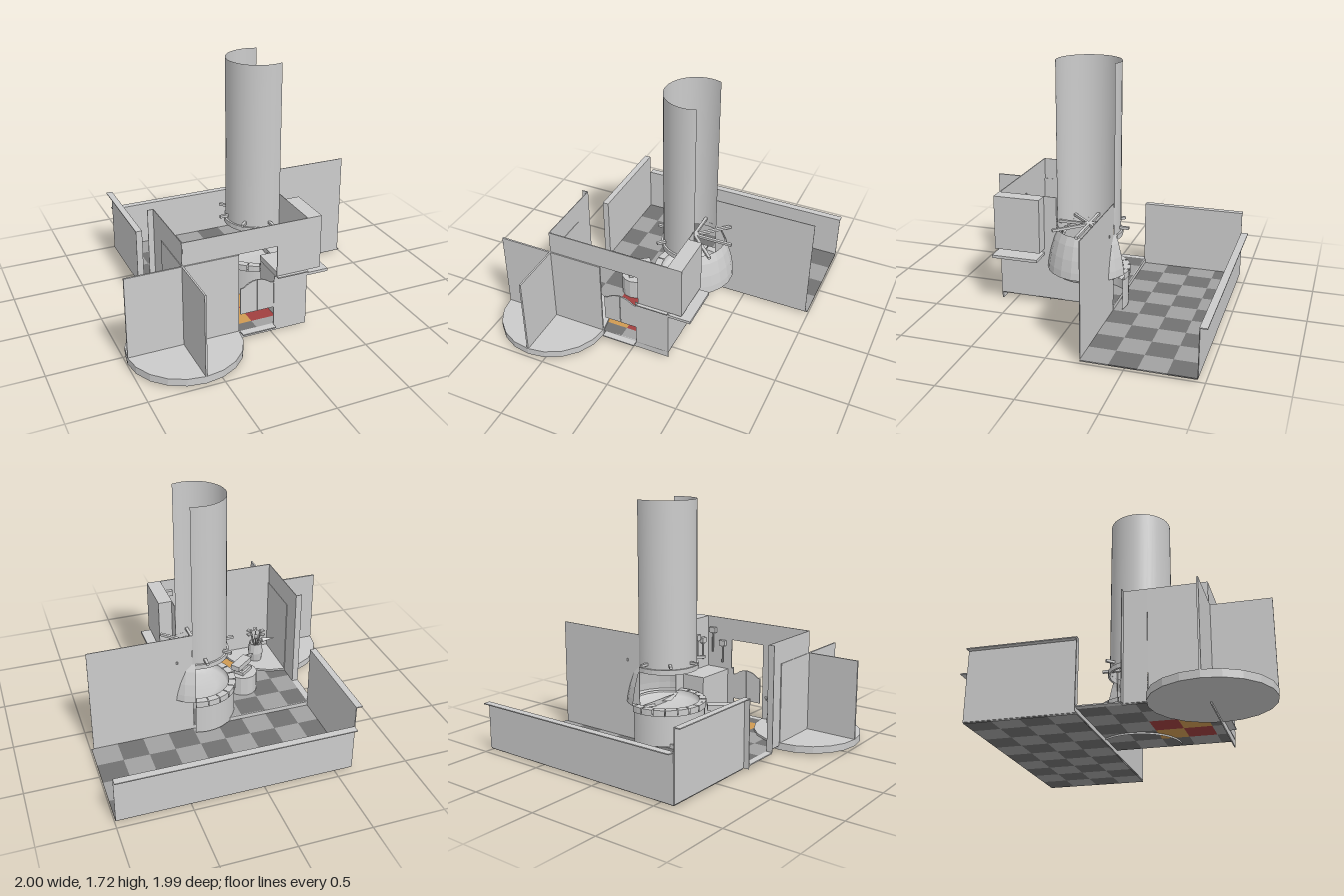
import * as THREE from 'three';

export function createModel() {
  const root = new THREE.Group();
  const mat = (color, flat = false) => new THREE.MeshStandardMaterial({ color, flatShading: flat, side: THREE.DoubleSide });
  const grey = mat(0xcccccc), faceted = mat(0xcccccc, true);
  const darkTile = mat(0x727272), lightTile = mat(0xa2a2a2), red = mat(0xa04040), orange = mat(0xcf9a52);

  const add = (name, geo, material = grey, parent = root) => {
    const m = new THREE.Mesh(geo, material);
    m.name = name;
    parent.add(m);
    return m;
  };
  const box = (name, x0, x1, y0, y1, z0, z1, material = grey, parent = root) => {
    const m = add(name, new THREE.BoxGeometry(x1 - x0, y1 - y0, z1 - z0), material, parent);
    m.position.set((x0 + x1) / 2, (y0 + y1) / 2, (z0 + z1) / 2);
    return m;
  };
  const group = (name, x, y, z, parent = root) => {
    const g = new THREE.Group();
    g.name = name;
    g.position.set(x, y, z);
    parent.add(g);
    return g;
  };

  // Checkered floor: low back hall and slightly raised forge room
  const L = -0.615, R = 0.262, step = 0.1825, t = 0.008;
  const floor = group('checkeredFloor', 0, 0, 0);
  for (let row = 0; row < 9; row++) {
    for (let col = 0; col < 9; col++) {
      const hall = row < 4;
      const xMax = hall ? 0.995 : R;
      const x0 = Math.max(L, 0.995 - (9 - col) * step), x1 = Math.min(xMax, 0.995 - (8 - col) * step);
      const z0 = -0.95 + row * step, z1 = Math.min(0.6, z0 + step);
      if (x1 <= x0) continue;
      const even = (row + col) % 2 === 0;
      const hot = (row === 6 || row === 7) && (col === 2 || col === 3);
      const m = hot ? (even ? red : orange) : (even ? darkTile : lightTile);
      const y = hall ? 0.02 : 0.05;
      box('floorTile', x0, x1, y - t, y, z0, z1, m, floor);
    }
  }
  box('frontFloorEdge', L, R, 0, 0.05, 0.592, 0.6);
  box('floorStep', L, R, 0.015, 0.05, -0.222, -0.214);
  box('doorThreshold', -0.66, L, 0.042, 0.05, -0.215, 0.065);

  // Hall walls with outward ledges
  box('backWall', L, 0.995, 0.02, 0.35, -0.955, -0.95);
  box('backLedge', L, 0.995, 0.343, 0.35, -1, -0.95);
  box('sideWall', L - 0.005, L, 0.02, 0.5, -0.95, -0.215);
  box('sideLedge', -0.66, L, 0.493, 0.5, -0.95, -0.215);
  box('sideWallEnd', -0.66, L, 0.02, 0.5, -0.22, -0.215);
  box('partitionWall', R, 0.98, 0.02, 0.79, -0.22, -0.215);

  // Forge room walls
  box('doorPost', -0.66, L, 0.05, 0.79, 0.065, 0.07);
  box('roomSideWall', L - 0.005, L, 0.05, 0.79, 0.065, 0.22);
  box('roomSideLintel', L - 0.005, L, 0.63, 0.79, 0.22, 0.6);
  box('frontLintel', L, 0.04, 0.63, 0.79, 0.595, 0.602);
  box('frontPanel', 0.04, R, 0.41, 0.79, 0.595, 0.602);
  box('frontLowerPanel', 0.02, R, 0.05, 0.41, 0.595, 0.602);
  box('frontLedge', 0.04, R, 0.402, 0.41, 0.6, 0.625);
  box('entranceSill', -0.22, 0.02, 0.042, 0.05, 0.6, 0.645);
  box('outerWall', R - 0.005, R, 0.05, 0.79, 0.186, 0.6);
  box('underOvenWall', R - 0.005, R, 0.05, 0.27, -0.215, 0.186);
  box('outerCabinet', R, 0.358, 0.41, 0.79, 0.275, 0.602);
  box('outerShelf', R, 0.42, 0.365, 0.385, 0.275, 0.6);
  box('counter', 0.07, R - 0.006, 0.36, 0.4, 0.275, 0.594);
  box('counterFront', 0.075, 0.085, 0.05, 0.36, 0.28, 0.594);
  box('counterSide', 0.085, R - 0.006, 0.05, 0.36, 0.28, 0.29);

  // Pair of swinging half doors with a humped top
  for (const s of [-1, 1]) {
    const d = new THREE.Shape();
    d.moveTo(0, 0.18);
    d.lineTo(s * 0.117, 0.18);
    d.lineTo(s * 0.117, 0.37);
    d.bezierCurveTo(s * 0.075, 0.37, s * 0.075, 0.41, 0, 0.413);
    const geo = new THREE.ExtrudeGeometry(d, { depth: 0.01, bevelEnabled: false, curveSegments: 6 });
    add('swingDoor', geo).position.set(-0.1 + s * 0.002, 0, 0.588);
  }

  // Revolving platform with crossed walls
  const turn = group('revolvingDoor', -0.618, 0, 0.605);
  add('platform', new THREE.CylinderGeometry(0.383, 0.383, 0.05, 20), faceted, turn).position.y = 0.04;
  box('crossWall', -0.382, 0.382, 0.065, 0.63, -0.006, 0.006, grey, turn);
  box('crossWall', -0.006, 0.006, 0.065, 0.63, -0.382, 0.382, grey, turn);

  // Barrel with tool handles on the platform
  const barrel = group('toolBarrel', -0.45, 0.065, 0.43);
  const stave = [[0, 0], [0.046, 0], [0.058, 0.07], [0.05, 0.15], [0.042, 0.15], [0.042, 0.11], [0, 0.11]];
  add('barrelBody', new THREE.LatheGeometry(stave.map(p => new THREE.Vector2(...p)), 12), faceted, barrel);
  for (let i = 0; i < 6; i++) {
    const spoke = group('handle', 0, 0.1, 0, barrel);
    spoke.rotation.y = i * Math.PI / 3 + 0.2;
    const rod = box('rod', 0.022, 0.03, 0, 0.15, -0.004, 0.004, grey, spoke);
    rod.rotation.z = -0.25;
    box('grip', 0.035, 0.075, 0.13, 0.142, -0.014, 0.014, grey, spoke);
  }
  const blade = add('blade', new THREE.ConeGeometry(0.022, 0.11, 4), faceted, barrel);
  blade.position.set(-0.1, 0.17, -0.015);
  blade.rotation.z = Math.PI / 2;
  blade.scale.z = 1.2;

  // Hearth, oven dome and chimney, divided by the outer wall plane
  const forge = group('forge', 0.178, 0, -0.022);
  const cut = R - 0.178;
  const inside = (r, y0, y1, r2 = r, n = 24) => {
    const w = Math.acos(cut / Math.max(r, r2));
    return new THREE.CylinderGeometry(r2, r, y1 - y0, n, 1, true, Math.PI / 2 + w, 2 * Math.PI - 2 * w)
      .translate(0, (y0 + y1) / 2, 0);
  };
  const lathe = (pts, start, len, n) =>
    new THREE.LatheGeometry(pts.map(p => new THREE.Vector2(...p)), n, start, len);
  const wBase = Math.acos(cut / 0.285);
  const inStart = Math.PI / 2 + wBase, inLen = 2 * Math.PI - 2 * wBase;

  add('chimney', inside(0.2175, 0.53, 1.72), grey, forge);
  const lip = [[0.2175, 0.53], [0.232, 0.53], [0.232, 0.565], [0.2175, 0.565]];
  add('chimneyLip', lathe(lip, inStart, inLen, 14), faceted, forge);
  add('hearthBase', inside(0.275, 0.03, 0.26), grey, forge);
  const bowl = [[0.235, 0.29], [0.225, 0.25], [0.15, 0.235], [0, 0.23]];
  add('hearthBowl', lathe(bowl, 0, 2 * Math.PI, 24), grey, forge);
  const stone = [[0.235, 0.25], [0.285, 0.25], [0.285, 0.295], [0.235, 0.295], [0.235, 0.25]];
  for (let i = 0; i < 12; i++) {
    const g = lathe(stone, inStart + (i + 0.03) * inLen / 12, inLen / 12 * 0.94, 2);
    add('rimStone', g, faceted, forge);
  }
  const dome = [[0.085, 0.252], [0.2, 0.268], [0.285, 0.29], [0.28, 0.34], [0.265, 0.42], [0.24, 0.51], [0.215, 0.57]];
  add('ovenDome', lathe(dome, Math.PI / 2 - wBase, 2 * wBase, 9), faceted, forge);

  // Star of eight bars above the oven
  for (let i = 0; i < 4; i++) {
    const bar = add('starBar', new THREE.BoxGeometry(0.56, 0.018, 0.02), grey, forge);
    bar.position.y = 0.595;
    bar.rotation.y = i * Math.PI / 4;
  }

  // Anvil on a stump
  const anvil = group('anvil', -0.225, 0, 0.105);
  add('stump', new THREE.CylinderGeometry(0.105, 0.105, 0.15, 14), faceted, anvil).position.y = 0.125;
  const iron = group('anvilIron', 0, 0.2, 0, anvil);
  iron.rotation.y = Math.atan2(-0.62, -0.78);
  box('foot', -0.06, 0.06, 0, 0.025, -0.04, 0.04, grey, iron);
  box('waist', -0.04, 0.04, 0.025, 0.06, -0.022, 0.022, grey, iron);
  box('face', -0.11, 0.06, 0.06, 0.1, -0.035, 0.035, grey, iron);
  const horn = add('horn', new THREE.ConeGeometry(0.03, 0.09, 8), faceted, iron);
  horn.position.set(0.105, 0.078, 0);
  horn.rotation.z = -Math.PI / 2;

  // Hammers and tongs hanging inside the forge room
  const hammer = (x, y, z, turnY, len, head) => {
    const h = group('hangingTool', x, y, z);
    h.rotation.y = turnY;
    add('shaft', new THREE.CylinderGeometry(0.006, 0.006, len, 6), grey, h).position.y = -len / 2;
    box('toolHead', -head, head, -0.02, 0.02, -0.014, 0.014, grey, h);
    box('peg', -0.004, 0.004, -0.03, -0.022, -0.01, 0.02, grey, h);
  };
  hammer(0.2, 0.69, 0.575, 0, 0.17, 0.028);
  hammer(0.11, 0.6, 0.575, 0, 0.15, 0.026);
  [0.36, 0.43, 0.5].forEach((z, i) => hammer(0.238, 0.62 + 0.03 * (i % 2), z, Math.PI / 2, 0.15, 0.022));

  return root;
}
